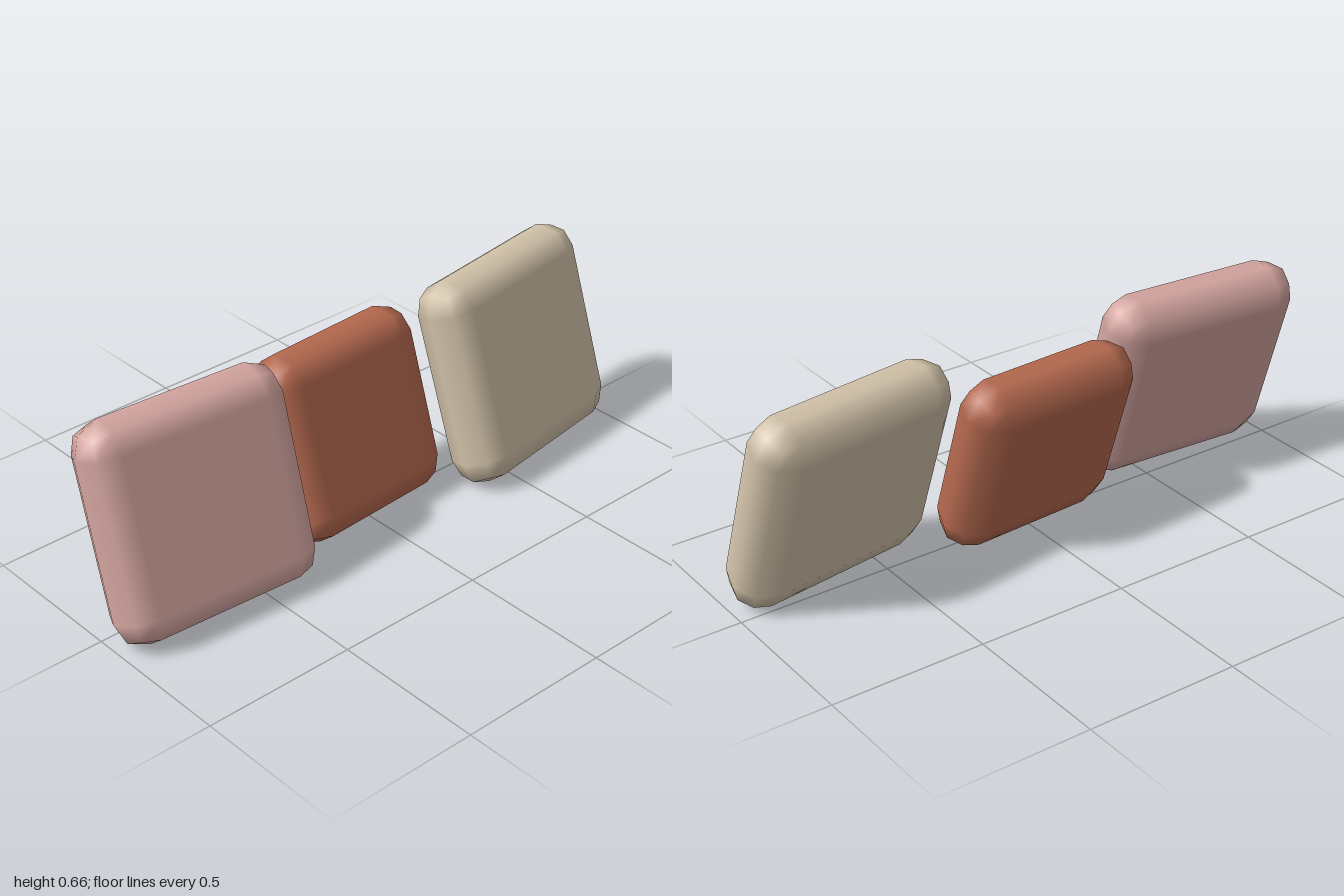
import * as THREE from 'three';

// Softly rounded cushion: each arc has two steps, normals are smooth.
function cushionGeometry(w, h, d, r) {
  const g = new THREE.BoxGeometry(1, 1, 1, 3, 3, 3);
  const pos = g.attributes.position;
  const nor = g.attributes.normal;
  const half = [w / 2 - r, h / 2 - r, d / 2 - r];
  for (let i = 0; i < pos.count; i++) {
    const p = [pos.getX(i), pos.getY(i), pos.getZ(i)];
    // outermost grid lines bend round the corner, inner ones stay flat
    const n = new THREE.Vector3(...p.map((c) => (Math.abs(c) > 0.4 ? Math.sign(c) : 0))).normalize();
    const q = p.map((c, k) => Math.sign(c) * half[k]);
    pos.setXYZ(i, q[0] + n.x * r, q[1] + n.y * r, q[2] + n.z * r);
    nor.setXYZ(i, n.x, n.y, n.z);
  }
  return g;
}

export function createModel() {
  const group = new THREE.Group();
  group.name = 'throwPillows';

  const material = (name, color) => {
    const m = new THREE.MeshStandardMaterial({ color });
    m.name = name;
    return m;
  };

  // Each cushion leans back and is turned slightly about the vertical
  const lean = -0.3;
  const cushions = [
    { name: 'rightCushion', mat: material('dustyPink', 0xd4a5a0), size: [0.69, 0.69], at: [-0.652, 0.338, 0.022], yaw: -0.065 },
    { name: 'middleCushion', mat: material('terracotta', 0xb5694f), size: [0.615, 0.617], at: [-0.005, 0.299, -0.06], yaw: 0.06 },
    { name: 'leftCushion', mat: material('cream', 0xd2c2a9), size: [0.695, 0.69], at: [0.643, 0.338, 0.02], yaw: 0.145 },
  ];

  for (const c of cushions) {
    const mesh = new THREE.Mesh(cushionGeometry(c.size[0], c.size[1], 0.2, 0.098), c.mat);
    mesh.name = c.name;
    mesh.position.set(...c.at);
    mesh.rotation.set(lean, c.yaw, 0, 'YXZ');
    group.add(mesh);
  }
  return group;
}
